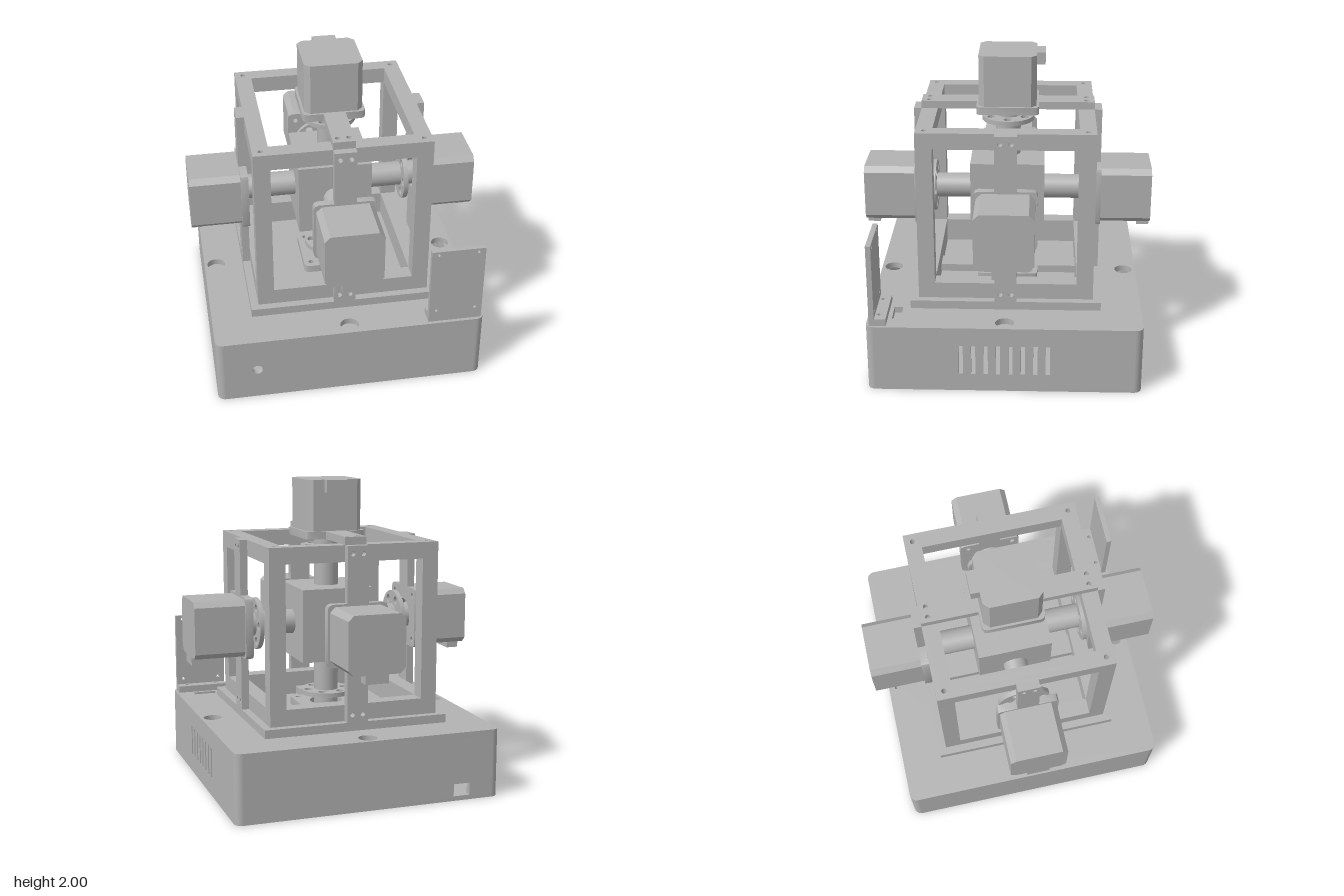
import * as THREE from 'three';
import { toCreasedNormals } from 'three/addons/utils/BufferGeometryUtils.js';

const CY = 1.06; // height of the cubic frame's centre

export function createModel() {
  const grey = new THREE.MeshStandardMaterial({ color: 0xb2b2b2 });
  const model = new THREE.Group();

  const add = (parent, name, geometry, x = 0, y = 0, z = 0) => {
    const mesh = new THREE.Mesh(geometry, grey);
    mesh.name = name;
    mesh.position.set(x, y, z);
    parent.add(mesh);
    return mesh;
  };
  const box = (parent, name, x0, x1, y0, y1, z0, z1) =>
    add(parent, name, new THREE.BoxGeometry(x1 - x0, y1 - y0, z1 - z0),
      (x0 + x1) / 2, (y0 + y1) / 2, (z0 + z1) / 2);
  const extrude = (shape, depth) => toCreasedNormals(
    new THREE.ExtrudeGeometry(shape, { depth, bevelEnabled: false, curveSegments: 16 }), 0.6);
  const circle = (x, y, r) => new THREE.Path().absarc(x, y, r, 0, Math.PI * 2, true);
  const rectHole = (x0, x1, y0, y1) => new THREE.Path([[x0, y0], [x0, y1], [x1, y1], [x1, y0]]
    .map(p => new THREE.Vector2(...p)));
  const polygon = pts => new THREE.Shape(pts.map(p => new THREE.Vector2(...p)));
  const square = h => polygon([[-h, -h], [h, -h], [h, h], [-h, h]]);
  const roundSquare = (h, r) => {
    const s = new THREE.Shape(), c = h - r, q = Math.PI / 2;
    s.absarc(c, c, r, 0, q).absarc(-c, c, r, q, 2 * q);
    s.absarc(-c, -c, r, 2 * q, 3 * q).absarc(c, -c, r, 3 * q, 4 * q);
    return s;
  };
  const signs = [[1, 1], [1, -1], [-1, 1], [-1, -1]];
  // Lays an extruded plan shape flat: shape y becomes -z, depth becomes y
  const slab = (parent, name, shape, y0, y1) => {
    const mesh = add(parent, name, extrude(shape, y1 - y0), 0, y0, 0);
    mesh.rotation.x = -Math.PI / 2;
    return mesh;
  };

  // Hollow base enclosure
  const base = new THREE.Group();
  base.name = 'base';
  model.add(base);
  const H = 0.87, R = 0.05, TOP = 0.445, T = 0.04;
  const lid = roundSquare(H, R);
  for (const [x, y] of [[0, 0.79], [0, -0.79], [0.79, 0], [-0.79, 0]]) lid.holes.push(circle(x, y, 0.06));
  lid.holes.push(rectHole(0.6, 0.755, -0.715, -0.66));
  slab(base, 'baseLid', lid, TOP - T, TOP);
  const floor = roundSquare(H, R);
  for (const [x, y] of signs) floor.holes.push(circle(x * 0.82, y * 0.82, 0.015));
  slab(base, 'baseFloor', floor, 0, 0.02);

  // Walls: front with a round port, right with vents, back with a socket
  const frontHoles = [circle(-0.61, 0.22, 0.033)];
  const vents = [];
  for (let i = 0; i < 8; i++) {
    const u = (i - 3.5) * 0.0785;
    vents.push(rectHole(u - 0.014, u + 0.014, 0.12, 0.32));
  }
  const socket = [rectHole(0.555, 0.665, 0.03, 0.11)];
  [frontHoles, vents, socket, []].forEach((holes, i) => {
    const w = H - R;
    const wall = polygon([[-w, 0.02], [w, 0.02], [w, TOP - T], [-w, TOP - T]]);
    wall.holes.push(...holes);
    const geometry = extrude(wall, T);
    geometry.translate(0, 0, H - T);
    add(base, 'baseWall', geometry).rotation.y = i * Math.PI / 2;
    const h = TOP - T - 0.02;
    const corner = new THREE.CylinderGeometry(R, R, h, 12, 1, true, 0, Math.PI / 2);
    corner.translate(w, 0.02 + h / 2, w);
    add(base, 'baseCorner', corner).rotation.y = i * Math.PI / 2;
  });

  // Mounting ring and open cubic frame
  const F = 0.56, I = 0.455;
  const ring = square(0.61);
  ring.holes.push(rectHole(-I, I, -I, I));
  slab(model, 'mountingRing', ring, TOP, 0.5);
  const frameRing = square(F);
  frameRing.holes.push(rectHole(-I, I, -I, I));
  for (const [x, y] of signs) frameRing.holes.push(circle(x * 0.507, y * 0.507, 0.016));
  slab(model, 'frameTop', frameRing, CY + I, CY + F);
  slab(model, 'frameBottom', frameRing, CY - F, CY - I);
  for (const [sx, sz] of signs) {
    const c = (F + I) / 2, t = F - I;
    add(model, 'framePost', new THREE.BoxGeometry(t, 2 * I, t), sx * c, CY, sz * c);
  }

  // Central cube
  add(model, 'centreCube', new THREE.BoxGeometry(0.48, 0.48, 0.48), 0, CY, 0);

  // Bracket: a strap that widens to a motor plate
  const quarter = [[0.07, -0.2], [0.07, -0.56], [-0.07, -0.56], [-0.07, -0.2]];
  const c = 0.17;
  const bracket = polygon([
    ...quarter.slice().reverse().map(([x, y]) => [x, y]),
    [c, -0.2], [0.191, -0.191], [0.2, -c], [0.2, c], [0.191, 0.191], [c, 0.2],
    ...quarter.slice().map(([x, y]) => [x, -y]),
    [-c, 0.2], [-0.191, 0.191], [-0.2, c], [-0.2, -c], [-0.191, -0.191], [-c, -0.2],
  ]);
  bracket.holes.push(circle(0, 0, 0.11));
  for (const [x, y] of signs) {
    bracket.holes.push(circle(x * 0.035, y * 0.51, 0.016));
    bracket.holes.push(circle(x * 0.15, y * 0.15, 0.018));
  }
  const bracketGeo = extrude(bracket, 0.05);

  // Motor body with chamfered edges
  const m = 0.185, k = m - 0.035;
  const motorGeo = extrude(polygon([
    [k, -m], [m, -k], [m, k], [k, m], [-k, m], [-m, k], [-m, -k], [-k, -m],
  ]), 0.33);

  // Coupling disc with a circle of holes
  const disc = new THREE.Shape().absarc(0, 0, 0.17, 0, Math.PI * 2);
  for (let i = 0; i < 6; i++) {
    const a = i * Math.PI / 3;
    disc.holes.push(circle(0.125 * Math.cos(a), 0.125 * Math.sin(a), 0.027));
  }
  const discGeo = extrude(disc, 0.03);
  const shaftGeo = new THREE.CylinderGeometry(0.08, 0.08, 0.38, 32).rotateX(Math.PI / 2);

  // Six identical drives, each pointing out along its local z
  const q = Math.PI / 2;
  const drives = {
    frontDrive: [0, 0, 0], backDrive: [0, 2 * q, 0], leftDrive: [0, q, 0],
    rightDrive: [0, -q, 0], topDrive: [-q, 0, 2 * q], bottomDrive: [q, 0, 0],
  };
  for (const [name, rotation] of Object.entries(drives)) {
    const drive = new THREE.Group();
    drive.name = name;
    drive.position.y = CY;
    drive.rotation.set(...rotation);
    model.add(drive);
    add(drive, 'shaft', shaftGeo, 0, 0, 0.42);
    add(drive, 'couplingDisc', discGeo, 0, 0, 0.475);
    add(drive, 'bracket', bracketGeo, 0, 0, 0.56);
    add(drive, 'motor', motorGeo, 0, 0, 0.61);
    box(drive, 'connector', -0.075, 0.075, -0.24, -0.18, 0.86, 0.94);
  }

  // Upright control panel on an L-shaped foot
  const panel = polygon([[0.505, TOP], [0.852, TOP], [0.852, 0.99], [0.505, 0.99]]);
  for (const x of [0.55, 0.805]) for (const y of [0.53, 0.965]) panel.holes.push(circle(x, y, 0.01));
  add(model, 'controlPanel', extrude(panel, 0.033), 0, 0, 0.815);
  const foot = polygon([[0.505, -0.815], [0.852, -0.815], [0.852, -0.742], [0.505, -0.742]]);
  for (const x of [0.575, 0.785]) foot.holes.push(circle(x, -0.79, 0.012));
  slab(model, 'panelFoot', foot, TOP, 0.49);

  return model;
}
